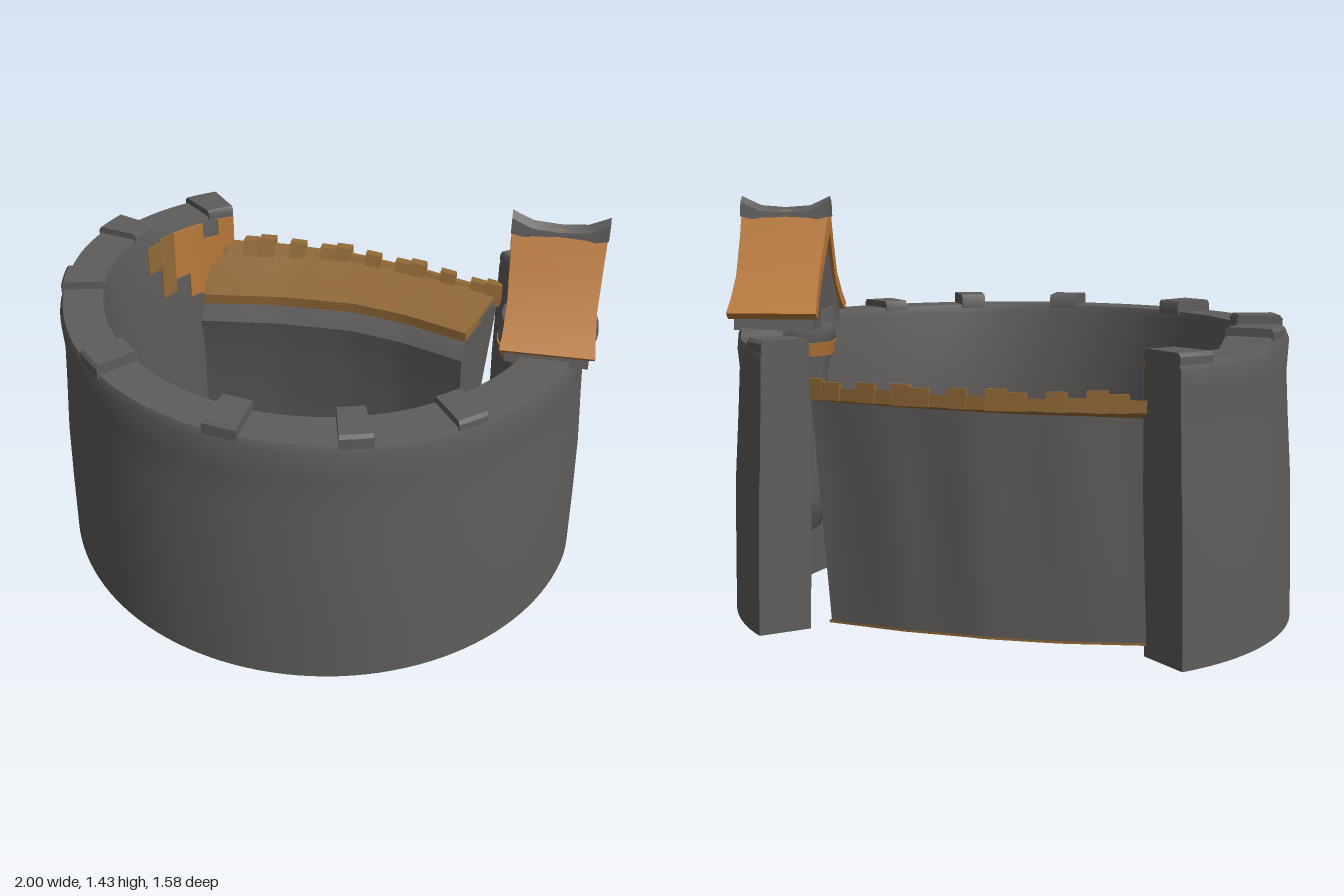
import * as THREE from 'three';
import { toCreasedNormals } from 'three/addons/utils/BufferGeometryUtils.js';

const CX = -0.01, CZ = -0.2; // centre of the ring wall
const START = -38.5, END = 221; // wall arc in degrees, open at the back

const V = (x, y, z) => new THREE.Vector3(x, y, z);
const lerp = THREE.MathUtils.lerp;

// Closed solid through a row of matching loops
function loft(sections, crease = 0.6) {
  const n = sections[0].length, last = (sections.length - 1) * n, idx = [];
  for (let i = 0; i < sections.length - 1; i++) {
    for (let j = 0; j < n; j++) {
      const a = i * n + j, d = i * n + (j + 1) % n, b = a + n, c = d + n;
      idx.push(a, d, c, a, c, b);
    }
  }
  for (let k = 1; k < n - 1; k++) {
    idx.push(0, k + 1, k, last, last + k, last + k + 1);
  }
  const g = new THREE.BufferGeometry().setFromPoints(sections.flat());
  g.setIndex(idx);
  return toCreasedNormals(g.toNonIndexed(), crease);
}

// Point on the ring; the wall draws in towards both ends
function ring(deg, r, y) {
  const t = deg * Math.PI / 180;
  const edge = Math.max(0, 1 - Math.min(deg - START, END - deg) / 45);
  const rr = r - 0.085 * edge ** 1.5;
  return V(CX + rr * Math.cos(t), y, CZ + rr * Math.sin(t));
}

// Piece of ring between two angles with a profile of [radius, height]
function arc(from, to, steps, profile) {
  const sections = [];
  for (let i = 0; i <= steps; i++) {
    const deg = lerp(from, to, i / steps);
    sections.push(profile(deg).map(([r, y]) => ring(deg, r, y)));
  }
  return loft(sections);
}

// Linear lookup in a short list of [x, value] points
function along(points, x) {
  for (let i = 1; i < points.length; i++) {
    const [x0, v0] = points[i - 1], [x1, v1] = points[i];
    if (x <= x1 || i === points.length - 1) return lerp(v0, v1, (x - x0) / (x1 - x0));
  }
}

export function createModel() {
  const model = new THREE.Group();
  const mat = (name, color) => {
    const m = new THREE.MeshStandardMaterial({ color });
    m.name = name;
    return m;
  };
  const stone = mat('stone', 0x5f5d5b);
  const tile = mat('roofTile', 0xba7a3b);
  const wood = mat('wood', 0x936a38);
  const add = (name, geometry, material, parent = model) => {
    const mesh = new THREE.Mesh(geometry, material);
    mesh.name = name;
    parent.add(mesh);
    return mesh;
  };

  // Ring wall, slightly waisted, lower near both ends
  const step = THREE.MathUtils.smoothstep;
  const topY = deg => 0.99 - 0.04 * Math.max(step(-deg, 11, 14), step(deg, 193, 197));
  add('ringWall', arc(START, END, 96, deg => {
    const y = topY(deg);
    return [[0.99, 0], [0.985, 0.25], [0.978, 0.48], [0.963, 0.7], [0.954, 0.85],
      [0.96, y - 0.03], [0.948, y], [0.805, y], [0.797, y - 0.03], [0.80, 0.5], [0.815, 0]];
  }), stone);

  // Low merlons on the wall top: [middle angle, half width, height]
  const merlons = [[-34.5, 4, 0.975], [43.5, 3.3, 1.015], [67, 3.3, 1.03], [93, 3.6, 1.03],
    [128, 3.6, 1.03], [163, 3.6, 1.02], [189, 3.6, 1.015], [217, 4, 0.975]];
  for (const [mid, half, h] of merlons) {
    const base = topY(mid) - 0.012;
    add('merlon', arc(mid - half, mid + half, 4, () =>
      [[0.957, base], [0.957, h - 0.012], [0.947, h], [0.805, h], [0.797, h - 0.012], [0.797, base]]), stone);
  }

  // Boards on the inside of the wall near its right end: [bottom, top]
  const boards = [[0.80, 0.92], [0.66, 0.93], [0.72, 0.93], [0.61, 0.93], [0.64, 0.86], [0.62, 0.93]];
  boards.forEach(([low, high], i) => {
    add('innerBoard', arc(190 + i * 5.15, 195.15 + i * 5.15, 2, () =>
      [[0.803, low], [0.803, high], [0.793, high], [0.794, low]]), i < 2 ? wood : tile);
  });

  // Rear curtain wall: plan curves of its back and front edges
  const backZ = x => along([[-0.64, -0.66], [-0.3, -0.71], [-0.05, -0.72], [0.25, -0.685], [0.57, -0.62]], x);
  const frontZ = x => along([[-0.64, -0.53], [-0.3, -0.555], [0, -0.545], [0.25, -0.515], [0.5, -0.455]], x);
  const frontY = x => along([[-0.63, 0.63], [0, 0.70], [0.5, 0.72]], x);
  const skew = x => x - 0.15 * Math.max(0, x); // front edge is shorter on the left
  const rear = [], deck = [];
  for (let i = 0; i <= 24; i++) {
    const x = lerp(-0.63, 0.56, i / 24), f = skew(x), ripple = 0.008 * Math.sin(i * 0.9);
    const b = x - 0.12 * Math.max(0, x), low = 0.045 - 0.03 * Math.max(0, x);
    const y = frontY(x), z = frontZ(x);
    rear.push([V(b, low, backZ(x) - 0.015), V(b, 0.45, backZ(x) - 0.005 + ripple), V(x, 0.80, backZ(x) + 0.01),
      V(f, y - 0.03, z), V(f, y - 0.10, z + 0.055), V(f, 0.4, z + 0.03), V(f, low, z + 0.03)]);
    deck.push([V(x, 0.775, backZ(x) - 0.006), V(x, 0.815, backZ(x) - 0.006),
      V(f, y, z + 0.01), V(f, y - 0.04, z + 0.01)]);
  }
  add('rearWall', loft(rear), stone);
  add('slopingDeck', loft(deck), wood);

  // Ragged plank ends along the back of the deck, and flat planks beneath the wall
  const planks = 19;
  for (let i = 0; i < planks; i++) {
    const up = [0.025, 0, 0.02, 0.03, 0.005][i % 5], out = [0.014, 0, 0.016, 0.02, 0][i % 5];
    const ends = [i, i + 1].map(k => lerp(-0.63, 0.57, k / planks));
    add('plankEnd', loft(ends.map(x => [V(x, 0.775, backZ(x) - out), V(x, 0.815 + up, backZ(x) - out),
      V(x, 0.812 + up, backZ(x) + 0.012), V(x, 0.77, backZ(x) + 0.04)])), wood);
    add('bottomPlank', loft(ends.map(x => {
      const b = x - 0.12 * Math.max(0, x), low = 0.045 - 0.03 * Math.max(0, x);
      return [V(b, low - 0.008, backZ(x) - 0.015), V(b, low, backZ(x) - 0.015),
        V(skew(x), low, frontZ(x) + 0.02 + out), V(skew(x), low - 0.008, frontZ(x) + 0.02 + out)];
    })), wood);
  }

  // Gabled turret on the left wall
  const turret = new THREE.Group();
  turret.name = 'turret';
  turret.position.set(0.81, 0, -0.17);
  turret.rotation.y = 0.13;
  model.add(turret);

  // Stone gable body with curved sides
  const gable = [[-0.215, 0.97], [-0.205, 1.015], [-0.12, 1.115], [-0.05, 1.225], [0, 1.31]];
  const outline = new THREE.Shape([...gable, ...gable.slice(0, -1).reverse().map(([z, y]) => [-z, y])]
    .map(([z, y]) => new THREE.Vector2(z, y)));
  const body = new THREE.ExtrudeGeometry(outline, { depth: 0.28, bevelEnabled: false });
  body.rotateY(Math.PI / 2).translate(-0.14, 0, 0);
  add('gableBody', body, stone, turret);

  // Two flared roof slopes, from ridge to eave: [under z, under y, top z, top y]
  const slope = [[0, 1.30, 0.015, 1.38], [0.05, 1.22, 0.07, 1.275], [0.12, 1.11, 0.143, 1.15],
    [0.18, 1.04, 0.205, 1.07], [0.218, 1.008, 0.242, 1.03]];
  for (const turn of [0, Math.PI]) {
    const sections = slope.map(([z0, y0, z1, y1], i) => {
      const w = 0.148 + 0.01 * Math.abs(i - 2) / 2;
      return [V(w, y0, z0), V(w, y1, z1), V(-w, y1, z1), V(-w, y0, z0)];
    });
    add('roofSlope', loft(sections), tile, turret).rotation.y = turn;
  }

  // Ridge cap with raised ends
  add('ridgeCap', loft([[-0.16, 0.045], [-0.14, 0.035], [-0.09, 0.012], [0, 0.005],
    [0.09, 0.012], [0.14, 0.035], [0.16, 0.045]].map(([x, h]) => [V(x, 1.335 + h / 2, -0.032),
    V(x, 1.365 + h, -0.024), V(x, 1.385 + h, 0), V(x, 1.365 + h, 0.024), V(x, 1.335 + h / 2, 0.032)])), stone, turret);

  // Rounded footing and the piers that carry it inside the wall
  add('footing', new THREE.CylinderGeometry(0.165, 0.172, 0.05, 24), stone, turret).position.set(0, 1.005, 0);
  const pier = new THREE.LatheGeometry([[0, 0.2], [0.05, 0.23], [0.08, 0.35], [0.085, 0.8], [0.12, 0.93], [0.11, 0.99], [0, 0.99]]
    .map(([r, y]) => new THREE.Vector2(r, y)), 16);
  add('innerPier', pier, stone).position.set(0.755, 0, -0.18);
  add('sidePier', new THREE.CylinderGeometry(0.05, 0.06, 0.88, 14), stone).position.set(0.725, 0.49, -0.39);
  add('pierBand', new THREE.CylinderGeometry(0.122, 0.11, 0.05, 16), tile).position.set(0.755, 0.89, -0.18);
  add('pierBand', new THREE.CylinderGeometry(0.057, 0.058, 0.05, 14), tile).position.set(0.725, 0.73, -0.39);

  return model;
}
